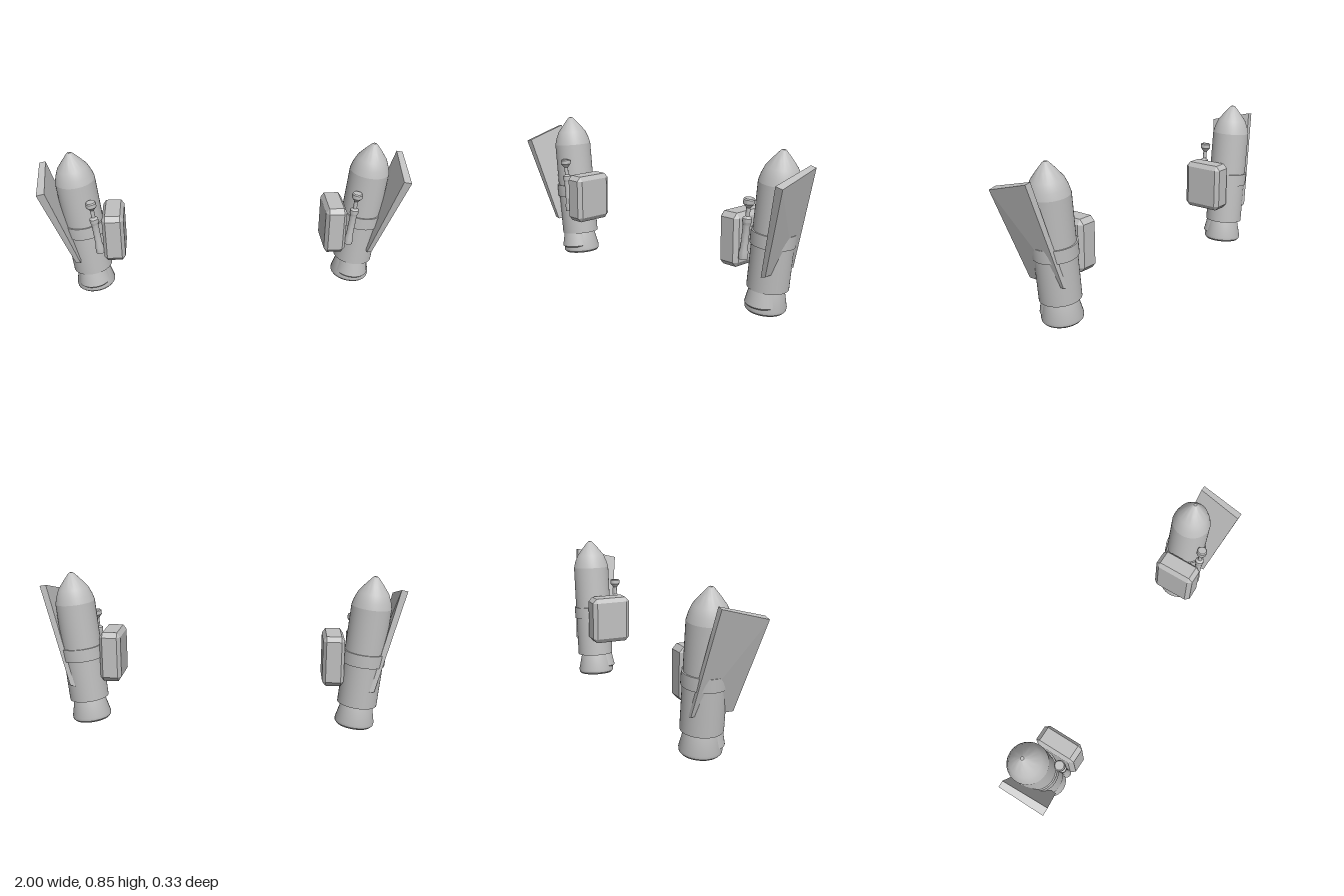
import * as THREE from 'three';
import { toCreasedNormals } from 'three/addons/utils/BufferGeometryUtils.js';
import { ConvexGeometry } from 'three/addons/geometries/ConvexGeometry.js';

const TILT = 0.1016; // lean of the boosters, tops outward

const grey = new THREE.MeshStandardMaterial({ color: 0xc0c0c0 });
grey.name = 'light grey';

function mesh(name, geometry) {
  const m = new THREE.Mesh(geometry, grey);
  m.name = name;
  return m;
}

// Turned part from [radius, height] pairs, bottom to top
function turned(name, profile, segments = 40) {
  const pts = profile.map(([r, y]) => new THREE.Vector2(r, y));
  return mesh(name, toCreasedNormals(new THREE.LatheGeometry(pts, segments), 0.4));
}

// Solid hull of a few corners; side mirrors it in x
function hull(name, side, corners) {
  const pts = corners.map(([x, y, z]) => new THREE.Vector3(side * x, y, z));
  return mesh(name, new ConvexGeometry(pts));
}

// Corners of a box with all its edges chamfered
function chamferedCorners(cx, cy, cz, hx, hy, hz, bx, by, bz) {
  const out = [];
  for (const i of [-1, 1]) for (const j of [-1, 1]) for (const k of [-1, 1]) {
    out.push([cx + i * hx, cy + j * (hy - by), cz + k * (hz - bz)]);
    out.push([cx + i * (hx - bx), cy + j * hy, cz + k * (hz - bz)]);
    out.push([cx + i * (hx - bx), cy + j * (hy - by), cz + k * hz]);
  }
  return out;
}

// side = 1 for the left booster (+x), -1 for the right one
function booster(side) {
  const group = new THREE.Group();
  group.name = side > 0 ? 'leftBooster' : 'rightBooster';

  // Rocket body, leaning outward
  const rocket = new THREE.Group();
  rocket.name = 'rocket';
  rocket.position.set(side * 0.745, 0.011, -0.05);
  rocket.rotation.z = -side * TILT;
  rocket.add(
    turned('body', [[0, 0.125], [0.109, 0.125], [0.109, 0.68], [0, 0.68]]),
    turned('noseCone', [[0.109, 0.68], [0.1, 0.715], [0.083, 0.757], [0.05, 0.8],
      [0.018, 0.838], [0.009, 0.845], [0, 0.846]]),
    turned('band', [[0.105, 0.36], [0.117, 0.36], [0.117, 0.43], [0.105, 0.43]]),
    turned('nozzle', [[0, 0], [0.098, 0], [0.107, 0.01], [0.109, 0.026], [0.085, 0.13]]),
  );
  // Forward bulge on the nozzle
  const bulge = turned('nozzleBulge', [[0, 0.036], [0.084, 0.036], [0.092, 0.045], [0.075, 0.13]]);
  bulge.position.z = 0.03;
  rocket.add(bulge);
  group.add(rocket);

  // Slanted outer fin
  group.add(hull('fin', side, [
    [1.0, 0.78, -0.084], [0.966, 0.787, -0.084],
    [0.995, 0.71, 0.167], [0.952, 0.72, 0.167],
    [0.84, 0.233, 0.077], [0.812, 0.226, 0.077],
    [0.84, 0.233, -0.15], [0.812, 0.226, -0.15],
  ]));

  // Chamfered pack on the inner side
  group.add(hull('pack', side,
    chamferedCorners(0.617, 0.387, -0.007, 0.059, 0.14, 0.119, 0.018, 0.026, 0.024)));

  // Small piston in front, between body and pack
  const piston = turned('piston', [[0, 0], [0.024, 0], [0.024, 0.035], [0.019, 0.06],
    [0.019, 0.18], [0.024, 0.195], [0.024, 0.215], [0.011, 0.225], [0.011, 0.268],
    [0.022, 0.282], [0.029, 0.29], [0.029, 0.312], [0.024, 0.318], [0, 0.318]], 20);
  piston.position.set(side * 0.696, 0.298, 0.078);
  piston.rotation.z = -side * TILT;
  group.add(piston);

  return group;
}

export function createModel() {
  const model = new THREE.Group();
  model.name = 'boosterPair';
  model.add(booster(1), booster(-1));
  return model;
}
